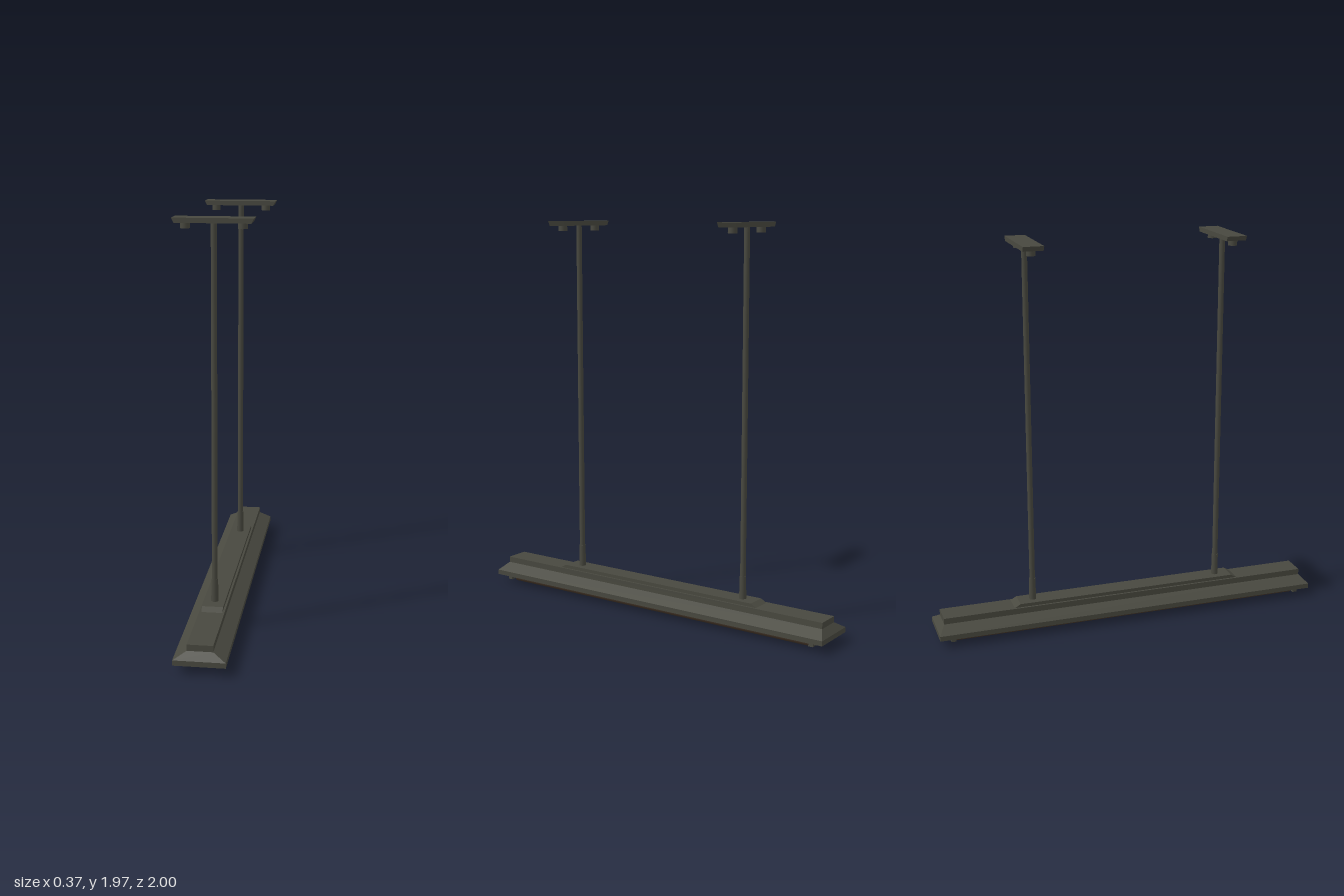
import * as THREE from 'three';

export function createModel() {
  const model = new THREE.Group();
  const metal = new THREE.MeshStandardMaterial({ color: 0x48483f });
  metal.name = 'dark metal';
  const bronze = new THREE.MeshStandardMaterial({ color: 0x46372a });
  bronze.name = 'bronze lamp glass';

  const add = (name, geometry, material, x = 0, y = 0, z = 0, parent = model) => {
    const mesh = new THREE.Mesh(geometry, material);
    mesh.name = name;
    mesh.position.set(x, y, z);
    parent.add(mesh);
    return mesh;
  };

  // Block between two heights, with its own half width and half length at each
  const block = (y0, y1, [x0, z0], [x1, z1] = [x0, z0]) => {
    const g = new THREE.BoxGeometry(2, 1, 2).toNonIndexed();
    const p = g.attributes.position;
    for (let i = 0; i < p.count; i++) {
      const top = p.getY(i) > 0;
      p.setXYZ(i, p.getX(i) * (top ? x1 : x0), top ? y1 : y0, p.getZ(i) * (top ? z1 : z0));
    }
    g.computeVertexNormals();
    return g;
  };

  // Stepped housing
  add('housingRim', block(0.04, 0.065, [0.12, 1]), metal);
  add('housingSlope', block(0.065, 0.1, [0.12, 1], [0.06, 0.968]), metal);
  add('housingSpine', block(0.1, 0.13, [0.06, 0.968]), metal);
  add('topRidge', block(0.13, 0.147, [0.05, 0.605], [0.05, 0.575]), metal);

  // Underside: reflector, end holders and two lamp tubes
  add('reflector', block(0.035, 0.041, [0.1, 0.93]), bronze);
  for (const s of [-1, 1]) {
    add('lampHolder', block(0.018, 0.041, [0.1, 0.012]), metal, 0, 0, s * 0.93);
    const tube = add('lampTube', new THREE.CylinderGeometry(0.025, 0.025, 1.84, 20), bronze, s * 0.045, 0.025, 0);
    tube.rotation.x = Math.PI / 2;
  }

  // Two hangers with ceiling plates
  for (const z of [-0.5, 0.5]) {
    const hanger = new THREE.Group();
    hanger.name = 'hanger';
    hanger.position.z = z;
    model.add(hanger);
    add('rod', new THREE.CylinderGeometry(0.014, 0.014, 1.82, 16), metal, 0, 1.05, 0, hanger);
    add('rodSleeve', new THREE.CylinderGeometry(0.016, 0.018, 0.12, 16), metal, 0, 0.2, 0, hanger);
    add('ceilingPlate', block(1.947, 1.97, [0.173, 0.05], [0.185, 0.05]), metal, 0, 0, 0, hanger);
    for (const x of [-0.13, 0.13])
      add('plateBolt', new THREE.CylinderGeometry(0.022, 0.022, 0.03, 16), metal, x, 1.935, 0, hanger);
  }
  return model;
}
